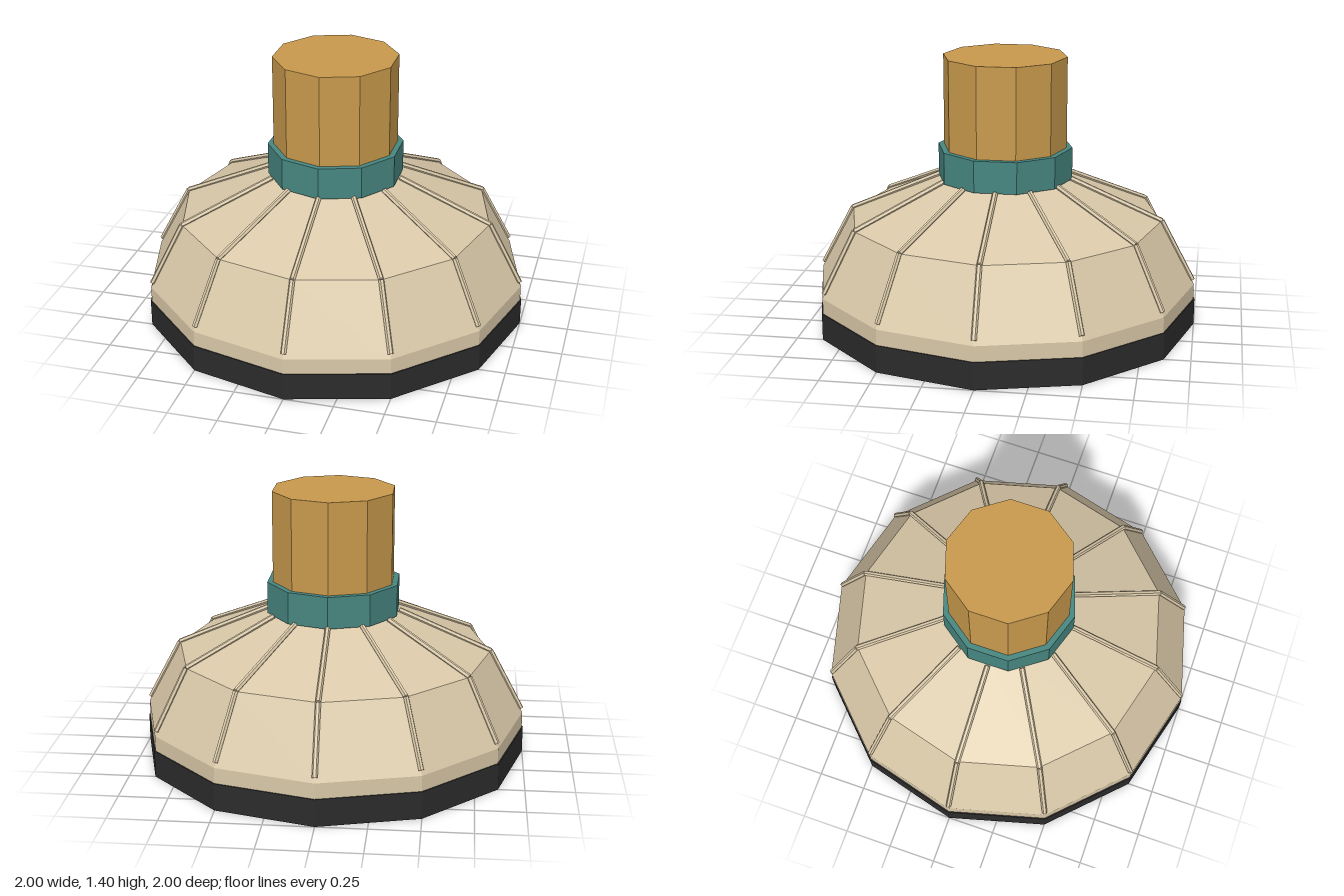
import * as THREE from 'three';

export function createModel() {
  const mat = (name, color) => {
    const m = new THREE.MeshStandardMaterial({ color, flatShading: true });
    m.name = name;
    return m;
  };
  const cream = mat('cream', 0xd9c8a8);
  const black = mat('black', 0x2b2b2b);
  const teal = mat('teal', 0x478680);
  const ochre = mat('ochre', 0xc8994c);

  const model = new THREE.Group();
  const add = (name, geometry, material, y = 0, parent = model) => {
    const mesh = new THREE.Mesh(geometry, material);
    mesh.name = name;
    mesh.position.y = y;
    parent.add(mesh);
    return mesh;
  };

  // Twelve-sided domed body, closed at bottom and top
  const profile = [[0, 0], [0.994, 0], [0.994, 0.22], [0.815, 0.555], [0.3, 0.775], [0, 0.775]];
  add('body', new THREE.LatheGeometry(profile.map(p => new THREE.Vector2(...p)), 12), cream);

  // Dark band around the foot; the body's floor shows inside it
  add('baseBand', new THREE.CylinderGeometry(1, 1, 0.14, 12, 1, true), black, 0.07);
  const rim = new THREE.RingGeometry(0.99, 1, 12, 1).rotateX(-Math.PI / 2);
  add('baseBandRim', rim, black, 0.14);

  // Ten-sided collar and handle
  add('collar', new THREE.CylinderGeometry(0.35, 0.35, 0.165, 10), teal, 0.8475);
  add('handle', new THREE.CylinderGeometry(0.32, 0.32, 0.5, 10), ochre, 1.152);

  // Thin ribs running down each corner of the body
  const path = [[0.34, 0.768], [0.818, 0.559], [0.985, 0.245]].map(p => new THREE.Vector3(p[0], p[1], 0));
  const up = new THREE.Vector3(0, 1, 0);
  for (let i = 0; i < 12; i++) {
    const rib = new THREE.Group();
    rib.name = 'rib';
    rib.rotation.y = (i * Math.PI) / 6;
    for (let k = 0; k < 2; k++) {
      const dir = path[k + 1].clone().sub(path[k]);
      const part = add(k ? 'lowerRib' : 'upperRib',
        new THREE.CylinderGeometry(0.014, 0.014, dir.length(), 6), cream, 0, rib);
      part.position.copy(path[k]).addScaledVector(dir, 0.5);
      part.quaternion.setFromUnitVectors(up, dir.normalize());
    }
    model.add(rib);
  }
  return model;
}
